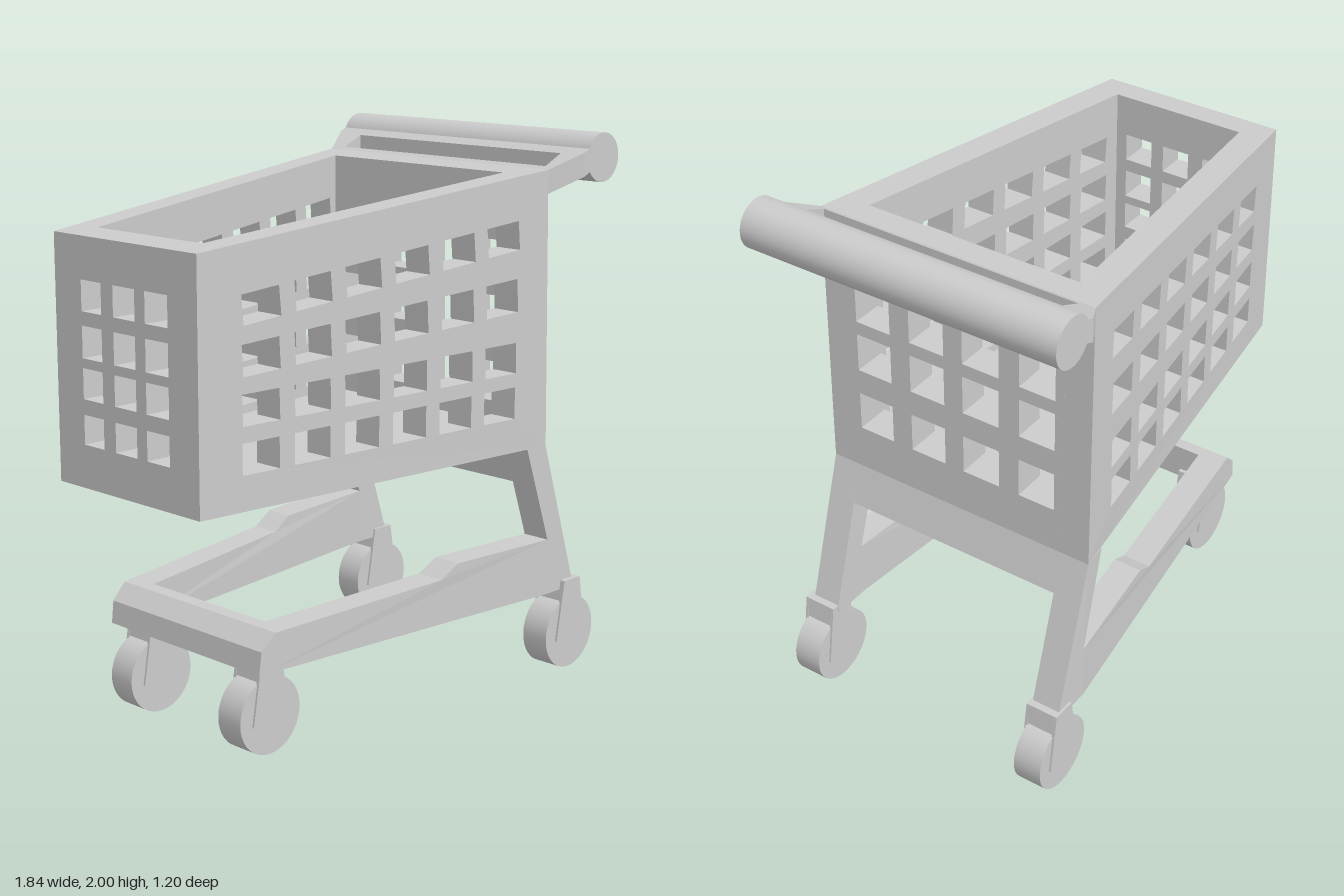
import * as THREE from 'three';

const material = new THREE.MeshStandardMaterial({ color: 0xcccccc });
const lerp = THREE.MathUtils.lerp;
const THICK = 0.107;

// Plan taper: outer faces of the left (+z) and right (-z) walls, and the sloping rim
const outerPos = x => 0.39 + 0.0954 * (Math.min(x, 0.6) + 0.92);
const outerNeg = x => -0.315 - 0.1415 * (Math.min(x, 0.6) + 0.92);
const rim = x => 1.73 + 0.0987 * (x + 0.92);
const backFace = y => 0.625 - 0.025 * (y - 0.88);

// Extrudes an outline by one unit and moves each vertex (u, v, t) by a rule
function solid(name, outline, holes, rule) {
  const vecs = pts => pts.map(p => new THREE.Vector2(p[0], p[1]));
  const shape = new THREE.Shape(vecs(outline));
  holes.forEach(h => shape.holes.push(new THREE.Path(vecs(h))));
  const geo = new THREE.ExtrudeGeometry(shape, { depth: 1, bevelEnabled: false });
  const pos = geo.attributes.position;
  for (let i = 0; i < pos.count; i++) {
    pos.setXYZ(i, ...rule(pos.getX(i), pos.getY(i), pos.getZ(i)));
  }
  geo.computeVertexNormals();
  const mesh = new THREE.Mesh(geo, material);
  mesh.name = name;
  return mesh;
}

const rect = (a, b, c, d) => [[a, c], [b, c], [b, d], [a, d]];

// Rules: a wall following the taper, a bar between both walls
const leftWall = (x, y, t) => [x, y, outerPos(x) - THICK * (1 - t)];
const rightWall = (x, y, t) => [x, y, outerNeg(x) + THICK * t];
const between = (x, y, t) => [x, y, lerp(outerNeg(x) + THICK, outerPos(x) - THICK, t)];

// Grid of openings in the basket sides, fanning out towards the rear
function sideHoles() {
  const rows = [
    [1.0, 1.105, 1.005, 1.12], [1.16, 1.265, 1.17, 1.28],
    [1.32, 1.425, 1.39, 1.508], [1.485, 1.585, 1.61, 1.712],
  ];
  const holes = [];
  rows.forEach(([b0, t0, b1, t1], r) => {
    for (let i = 0; i < 6; i++) {
      const x0 = -0.75 + 0.212 * i, x1 = x0 + 0.15, lean = 0.003 * r;
      const f0 = (x0 + 0.75) / 1.21, f1 = (x1 + 0.75) / 1.21;
      holes.push([
        [x0 + lean, lerp(b0, b1, f0)], [x1 + lean, lerp(b0, b1, f1)],
        [x1, lerp(t0, t1, f1)], [x0, lerp(t0, t1, f0)],
      ]);
    }
  });
  return holes;
}

// Every combination of column and row ranges; u = -z
const gridHoles = (cols, rows) =>
  cols.flatMap(([a, b]) => rows.map(([c, d]) => rect(-b, -a, c, d)));

function caster(x, z) {
  const group = new THREE.Group();
  group.name = 'caster';
  const wheel = new THREE.Mesh(new THREE.CylinderGeometry(0.137, 0.137, 0.108, 40), material);
  wheel.name = 'wheel';
  wheel.rotation.x = Math.PI / 2;
  wheel.position.y = 0.137;
  group.add(wheel);
  // Fork cheeks on both sides of the wheel, joined by a block on top
  const cheek = [[-0.083, 0.115], [0.083, 0.115], [0.045, 0.345], [-0.045, 0.345]];
  for (const s of [-0.062, 0.05]) {
    group.add(solid('forkCheek', cheek, [], (u, v, t) => [u, v, s + 0.012 * t]));
  }
  const block = [[-0.056, 0.268], [0.056, 0.268], [0.045, 0.345], [-0.045, 0.345]];
  group.add(solid('forkBlock', block, [], (u, v, t) => [u, v, lerp(-0.06, 0.06, t)]));
  group.position.set(x, 0, z);
  return group;
}

export function createModel() {
  const model = new THREE.Group();
  model.name = 'shoppingCart';

  // Tapered side structures: basket wall, sloping leg and base rail
  const basketSide = [[-0.92, 0.88], [0.625, 0.88], [0.6, 1.88], [-0.92, 1.73]];
  const leg = [[0.53, 0.88], [0.625, 0.88], [0.8, 0.34], [0.8, 0.31], [0.65, 0.31], [0.65, 0.52]];
  const rail = [[-0.69, 0.31], [0.65, 0.31], [0.65, 0.52], [0.2, 0.52], [0.12, 0.475],
    [-0.62, 0.445], [-0.68, 0.39]];
  for (const [side, rule] of [['left', leftWall], ['right', rightWall]]) {
    model.add(solid(side + 'BasketWall', basketSide, sideHoles(), rule));
    model.add(solid(side + 'Leg', leg, [], rule));
    model.add(solid(side + 'BaseRail', rail, [], rule));
  }

  // Narrow end wall of the basket
  model.add(solid('narrowEndWall', rect(-0.293, 0.222, 0.88, 1.8),
    gridHoles([[0.14, 0.25], [-0.018, 0.09], [-0.18, -0.078]],
      [[1.03, 1.132], [1.185, 1.29], [1.323, 1.432], [1.48, 1.585]]),
    (u, v, t) => {
      const x = lerp(-0.92, -0.81, t);
      return [x, v > 1.7 ? rim(x) : v, -u];
    }));

  // Wide end wall of the basket, below the handle
  model.add(solid('wideEndWall', rect(-0.428, 0.423, 0.88, 1.88),
    gridHoles([[0.27, 0.41], [0.05, 0.19], [-0.17, -0.025], [-0.39, -0.25]],
      [[1.045, 1.19], [1.285, 1.43], [1.48, 1.63]]),
    (u, v, t) => {
      const x = lerp(0.495, backFace(v), t);
      return [x, v > 1.8 ? rim(x) : v, -u];
    }));

  // Basket floor
  model.add(solid('basketFloor', rect(-0.815, 0.5, 0.88, 0.97), [], between));

  // Cross members tying the two sides together
  model.add(solid('legCrossbar', [[0.53, 0.88], [0.625, 0.88], [0.67, 0.735], [0.578, 0.735]], [], between));
  model.add(solid('baseCrossbar',
    [[-0.69, 0.31], [-0.57, 0.31], [-0.57, 0.447], [-0.62, 0.445], [-0.68, 0.39]], [], between));

  // Handle bracket: rising plate with a slot
  model.add(solid('handleBracket',
    [[0.6, 0.53], [0.72, 0.6], [0.78, 0.6], [0.78, -0.6], [0.72, -0.6], [0.6, -0.535]],
    [rect(0.62, 0.705, -0.505, 0.48)],
    (u, v, t) => [u, lerp(1.795, 1.88, t) + 0.46 * (u - 0.6), -v]));

  // Push handle
  const handle = new THREE.Mesh(new THREE.CylinderGeometry(0.088, 0.088, 1.2, 40), material);
  handle.name = 'handle';
  handle.rotation.x = Math.PI / 2;
  handle.position.set(0.827, 1.912, 0);
  model.add(handle);

  // Four casters
  for (const [x, z] of [[-0.6, 0.315], [-0.6, -0.243], [0.78, 0.492], [0.78, -0.477]]) {
    model.add(caster(x, z));
  }
  return model;
}
